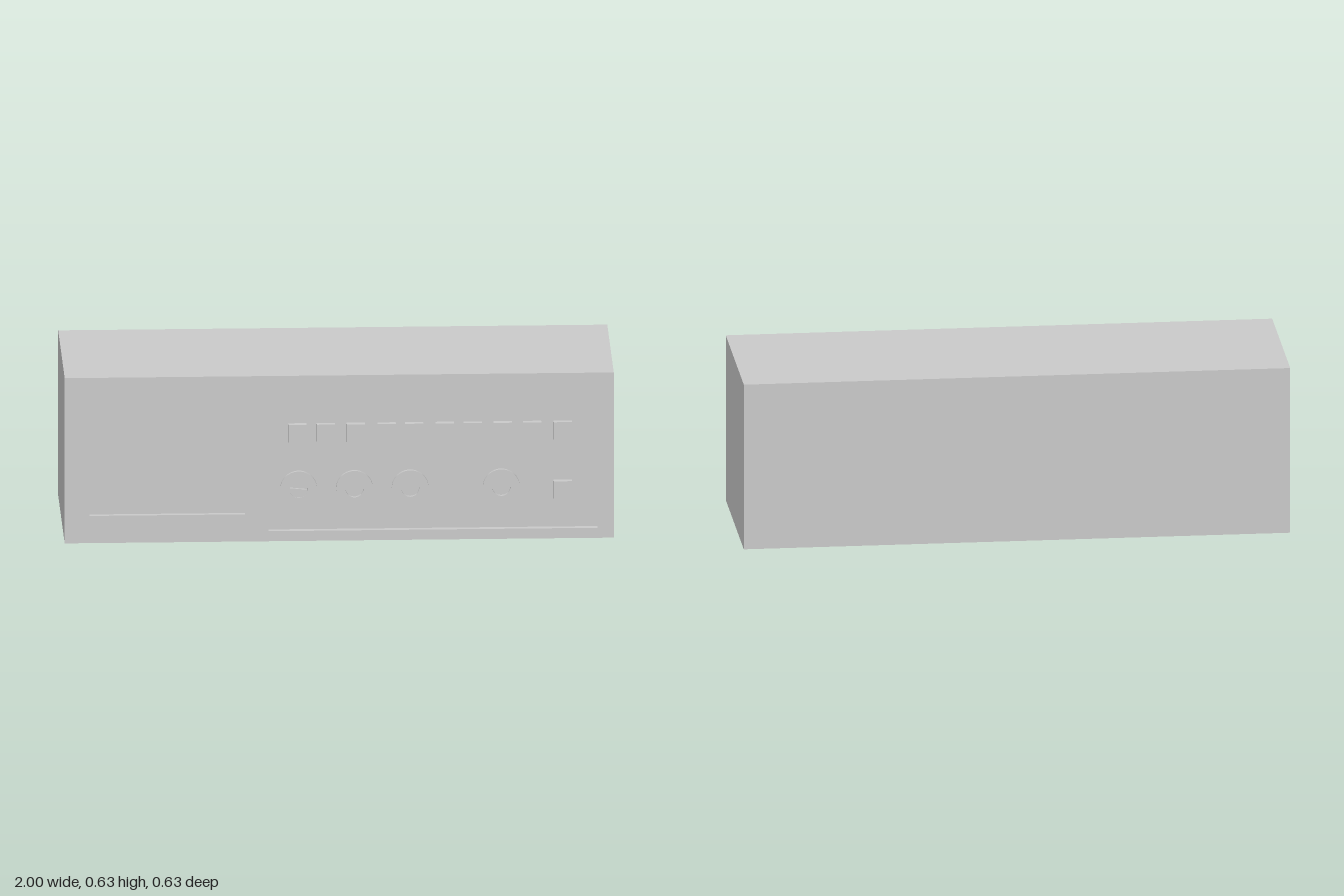
import * as THREE from 'three';
import { toCreasedNormals } from 'three/addons/utils/BufferGeometryUtils.js';

const HEIGHT = 0.626, FRONT = 0.313, RECESS = 0.023;
const FLOOR = FRONT - RECESS; // z of the recessed control panel

const grey = new THREE.MeshStandardMaterial({ color: 0xcccccc });

function addMesh(parent, name, geometry, x = 0, y = 0, z = 0) {
  const mesh = new THREE.Mesh(geometry, grey);
  mesh.name = name;
  mesh.position.set(x, y, z);
  parent.add(mesh);
  return mesh;
}

function rectangle(path, x0, y0, x1, y1) {
  path.moveTo(x0, y0);
  path.lineTo(x1, y0);
  path.lineTo(x1, y1);
  path.lineTo(x0, y1);
  path.closePath();
  return path;
}

function extrude(shape, depth, curveSegments = 20) {
  const geometry = new THREE.ExtrudeGeometry(shape, { depth, curveSegments, bevelEnabled: false });
  return toCreasedNormals(geometry, 0.6);
}

export function createModel() {
  const model = new THREE.Group();
  model.name = 'controlUnit';

  // Solid case behind the front frame
  const depth = FLOOR + FRONT;
  addMesh(model, 'case', new THREE.BoxGeometry(2, HEIGHT, depth), 0, HEIGHT / 2, -FRONT + depth / 2);

  // Front frame with openings for the screen and the control panel
  const frame = rectangle(new THREE.Shape(), -1, 0, 1, HEIGHT);
  frame.holes.push(rectangle(new THREE.Path(), -0.91, 0.103, -0.343, 0.546));
  frame.holes.push(rectangle(new THREE.Path(), -0.257, 0.038, 0.941, 0.6));
  addMesh(model, 'frontFrame', extrude(frame, RECESS), 0, 0, FLOOR);

  // Screen, set a little shallower than the control panel
  addMesh(model, 'screen', new THREE.BoxGeometry(0.567, 0.443, 0.004), -0.6265, 0.3245, FLOOR + 0.002);

  // Row of square buttons, plus one below at the right end
  const button = new THREE.BoxGeometry(0.067, 0.067, RECESS);
  const buttonXs = [-0.152, -0.048, 0.061, 0.173, 0.273, 0.385, 0.487, 0.596, 0.703, 0.815];
  for (const x of buttonXs) addMesh(model, 'button', button, x, 0.406, FLOOR + RECESS / 2);
  addMesh(model, 'lowerButton', button, 0.815, 0.182, FLOOR + RECESS / 2);

  // Ring-shaped dials
  const ring = new THREE.Shape().absarc(0, 0, 0.067, 0, Math.PI * 2);
  ring.holes.push(new THREE.Path().absarc(0, 0, 0.033, 0, Math.PI * 2, true));
  const dial = extrude(ring, 0.013);
  for (const x of [-0.147, 0.056, 0.259, 0.591]) addMesh(model, 'dial', dial, x, 0.193, FLOOR);

  // Half-round insert in the first dial
  const half = new THREE.Shape().absarc(0, 0, 0.033, Math.PI, Math.PI * 2);
  const insert = addMesh(model, 'dialInsert', extrude(half, 0.01), -0.147, 0.193, FLOOR);
  insert.rotation.z = -0.1;

  return model;
}
